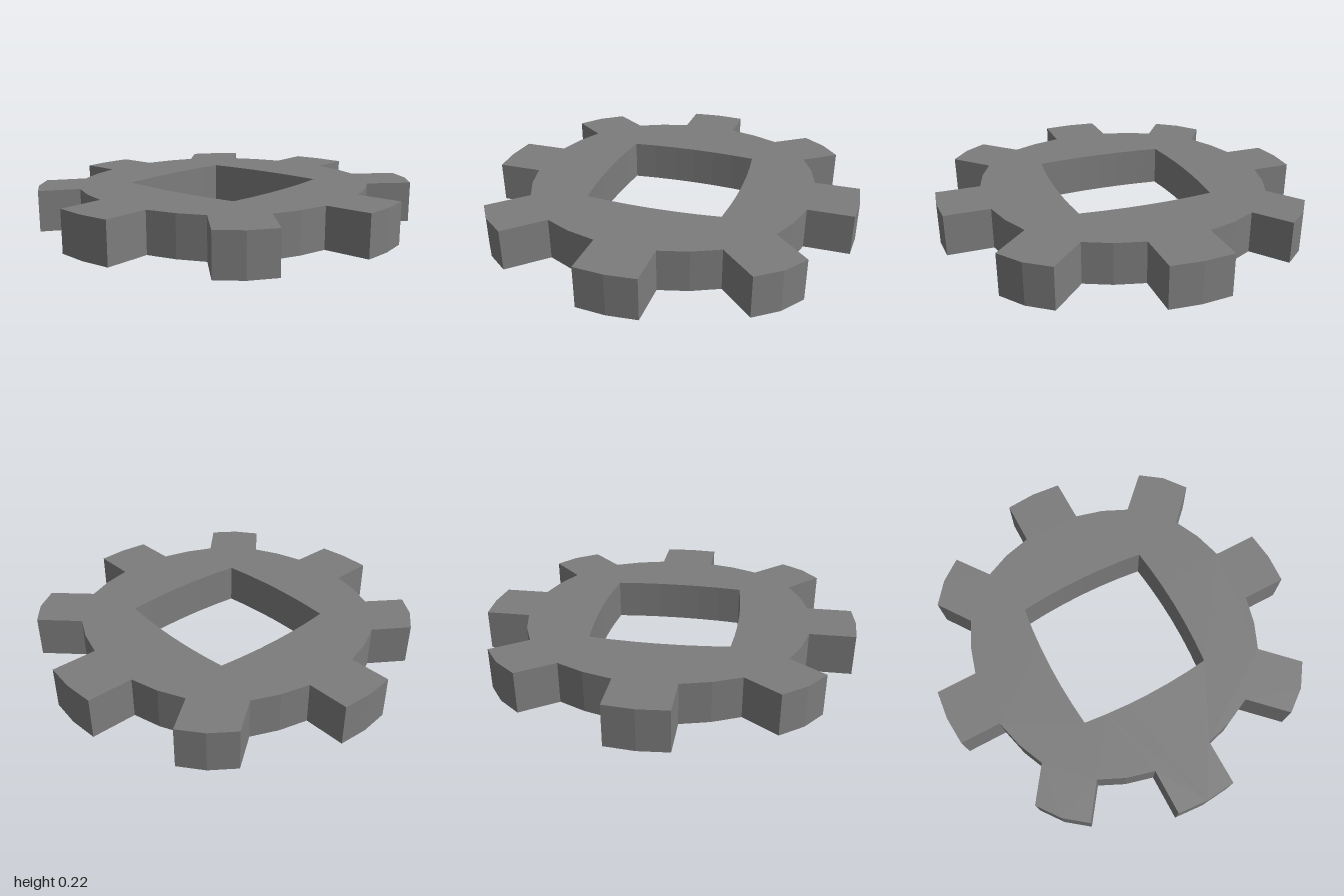
import * as THREE from 'three';

const HEIGHT = 0.217;

// Right half of the toothed outline as [x, z], from back tooth to front tooth
const HALF_OUTLINE = [
  [0, -0.991], [0.154, -0.978],                        // back tooth
  [0.154, -0.76], [0.303, -0.72], [0.441, -0.658],     // rim
  [0.615, -0.781], [0.732, -0.692], [0.821, -0.577],   // diagonal tooth
  [0.648, -0.45], [0.71, -0.318], [0.75, -0.17],       // rim
  [0.987, -0.17], [1.0, -0.01], [0.987, 0.148],        // side tooth
  [0.75, 0.148], [0.71, 0.298], [0.648, 0.432],        // rim
  [0.821, 0.605], [0.735, 0.722], [0.615, 0.811],      // diagonal tooth
  [0.441, 0.64], [0.303, 0.703], [0.154, 0.742],       // rim
  [0.154, 0.978], [0, 0.991],                          // front tooth
];

// Square opening with four slightly bowed sides
function bowedSquare(corner, bow, cz, steps) {
  const points = [];
  for (let side = 0; side < 4; side++) {
    const a = side * Math.PI / 2;
    for (let i = 0; i < steps; i++) {
      const t = -1 + 2 * i / steps;
      const out = corner + bow * (1 - t * t);
      const along = corner * t;
      points.push(new THREE.Vector2(
        out * Math.cos(a) - along * Math.sin(a),
        out * Math.sin(a) + along * Math.cos(a) - cz));
    }
  }
  return points;
}

export function createModel() {
  const group = new THREE.Group();
  group.name = 'gear';

  // Mirror the half outline across x; shape y is -z
  const mirrored = HALF_OUTLINE.slice(1, -1).reverse().map(([x, z]) => [-x, z]);
  const outline = [...HALF_OUTLINE, ...mirrored].map(([x, z]) => new THREE.Vector2(x, -z));
  const shape = new THREE.Shape(outline);
  shape.holes.push(new THREE.Path(bowedSquare(0.36, 0.022, -0.01, 6)));

  // Extrude upward from the ground
  const geometry = new THREE.ExtrudeGeometry(shape, { depth: HEIGHT, bevelEnabled: false });
  geometry.rotateX(-Math.PI / 2);

  const gear = new THREE.Mesh(geometry,
    new THREE.MeshStandardMaterial({ color: 0x7c7c7c, flatShading: true }));
  gear.name = 'toothedRing';
  group.add(gear);
  return group;
}
